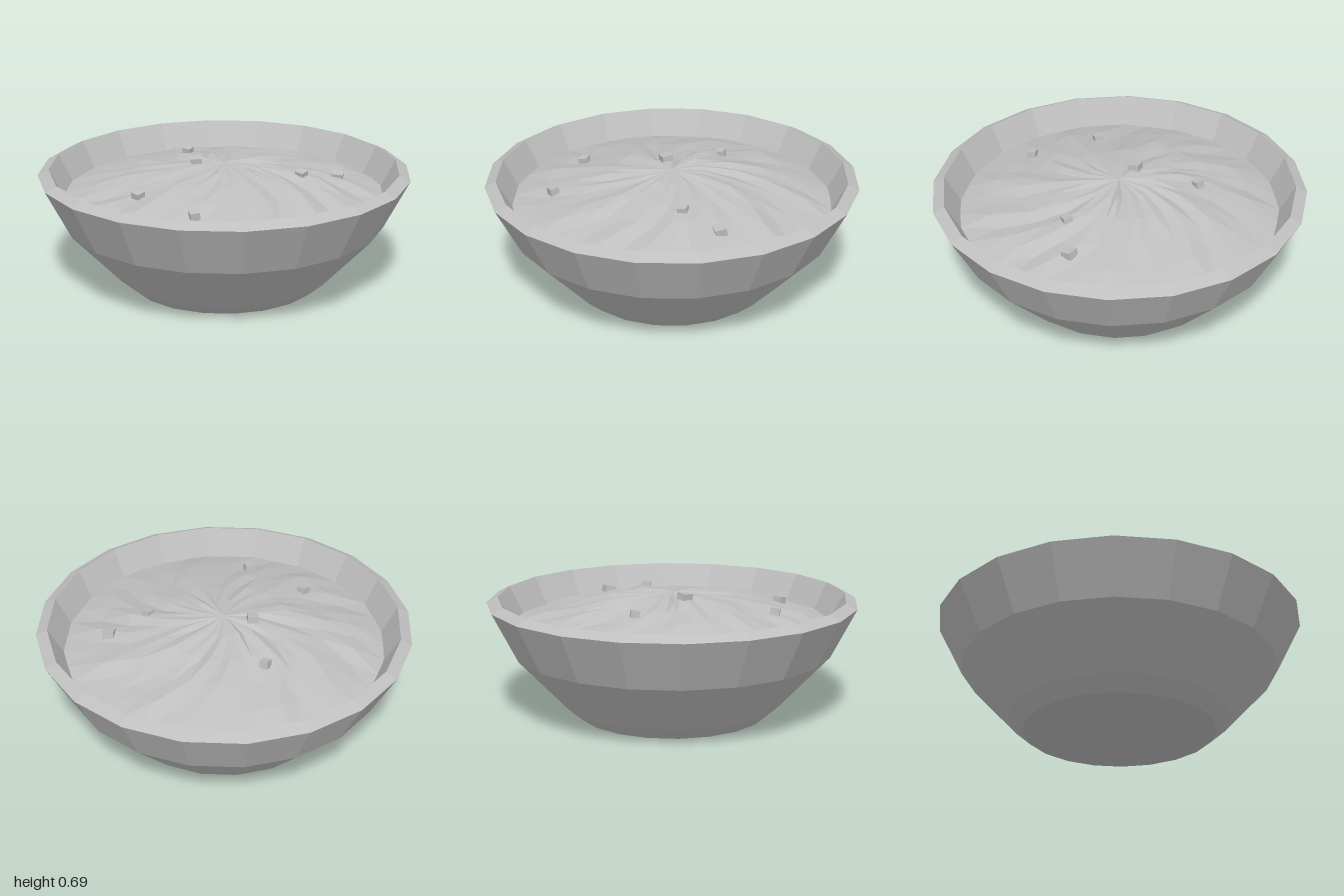
import * as THREE from 'three';

const SEGS = 40, RINGS = 5, RADIUS = 0.86;

// Small seeded generator, returns -1..1
function seeded(seed) {
  let s = seed;
  return () => {
    s = (s * 16807) % 2147483647;
    return (s / 2147483647) * 2 - 1;
  };
}

// Domed height of the filling, before ripples
const domeHeight = (r) => 0.667 - 0.165 * Math.pow(r / RADIUS, 1.6);

// Faceted domed surface whose ridges twist outward from the centre
function swirlGeometry() {
  const rand = seeded(4217);
  const ridges = Array.from({ length: SEGS }, rand);
  const pos = [0, 0.667, 0];
  const index = [];
  for (let k = 1; k <= RINGS; k++) {
    const r = (RADIUS * k) / RINGS;
    const amp = k === RINGS ? 0.004 : 0.02;
    for (let j = 0; j < SEGS; j++) {
      const a = ((j + k) / SEGS) * Math.PI * 2;
      const y = domeHeight(r) + amp * (0.6 * ridges[j] + 0.5 * rand());
      pos.push(r * Math.cos(a), y, r * Math.sin(a));
    }
  }
  const id = (k, j) => 1 + (k - 1) * SEGS + (j % SEGS);
  for (let j = 0; j < SEGS; j++) {
    index.push(0, id(1, j + 1), id(1, j));
    for (let k = 1; k < RINGS; k++) {
      const a = id(k, j), b = id(k, j + 1), c = id(k + 1, j), d = id(k + 1, j + 1);
      index.push(a, b, c, b, d, c);
    }
  }
  const geo = new THREE.BufferGeometry();
  geo.setAttribute('position', new THREE.Float32BufferAttribute(pos, 3));
  geo.setIndex(index);
  const flat = geo.toNonIndexed();
  flat.computeVertexNormals();
  return flat;
}

// Lathe with flat facets
function facetedLathe(points, segments) {
  const geo = new THREE.LatheGeometry(points.map(([x, y]) => new THREE.Vector2(x, y)), segments).toNonIndexed();
  geo.computeVertexNormals();
  return geo;
}

export function createModel() {
  const group = new THREE.Group();
  group.name = 'bowlOfSoup';
  const gray = new THREE.MeshStandardMaterial({ color: 0xbfbfbf });
  gray.name = 'gray';

  const add = (name, geometry) => {
    const mesh = new THREE.Mesh(geometry, gray);
    mesh.name = name;
    group.add(mesh);
    return mesh;
  };

  // Bowl: base, flared wall, bevelled rim and inside
  add('bowl', facetedLathe([
    [0, 0], [0.52, 0], [0.6, 0.07], [0.865, 0.355], [1, 0.62],
    [0.94, 0.65], [0.86, 0.5], [0.8, 0.4], [0, 0.38],
  ], 20));

  // Swirled filling
  add('filling', swirlGeometry());

  // Small chunks floating on the filling: x, z, size, turn
  const chunks = [
    [-0.13, -0.08, 0.06, -0.35], [-0.04, -0.42, 0.046, 0.7], [-0.55, 0.15, 0.05, 0.4],
    [-0.385, 0.51, 0.05, -0.2], [0.34, 0.25, 0.05, 0.5], [0.575, 0.22, 0.06, 1.0],
  ];
  chunks.forEach(([x, z, size, turn]) => {
    const chunk = add('chunk', new THREE.BoxGeometry(size, 0.04, size));
    chunk.position.set(x, domeHeight(Math.hypot(x, z)) + 0.01, z);
    chunk.rotation.set(0.12, turn, 0.1);
  });

  return group;
}
